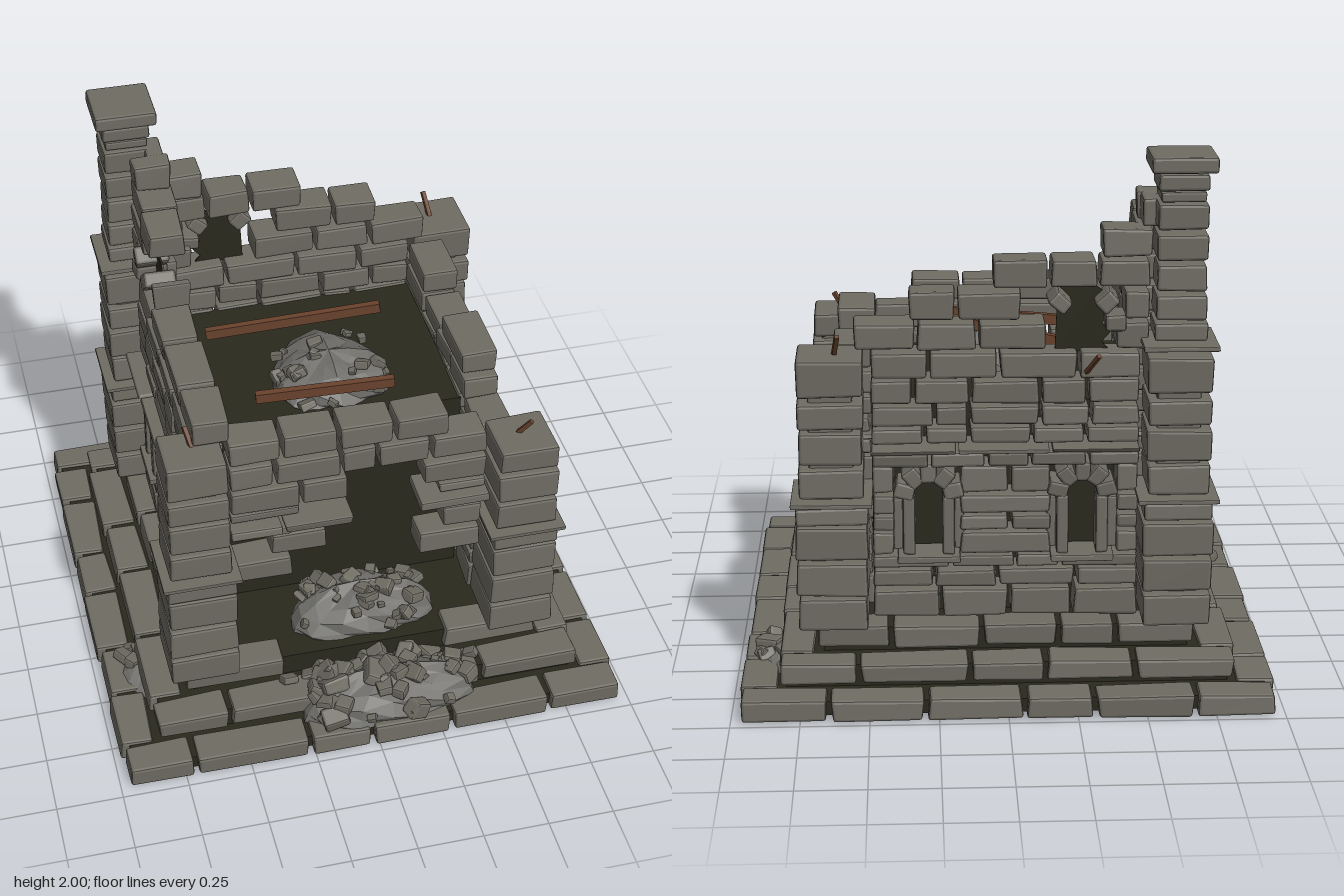
import * as THREE from 'three';
import { mergeGeometries } from 'three/addons/utils/BufferGeometryUtils.js';
import { RoundedBoxGeometry } from 'three/addons/geometries/RoundedBoxGeometry.js';

const mat = (name, color) => Object.assign(new THREE.MeshStandardMaterial({ color }), { name });

export function createModel() {
  const model = new THREE.Group();
  model.name = 'ruinedTower';
  const stone = mat('stone', 0x6f6c63), debris = mat('rubble', 0x6f6e6a);
  const dark = mat('darkMortar', 0x2a291d), wood = mat('oldWood', 0x6b432e);

  let seed = 7;
  const rnd = (a = 0, b = 1) => {
    seed = (seed * 16807) % 2147483647;
    return a + (b - a) * seed / 2147483647;
  };
  const flat = (g) => {
    const f = g.index ? g.toNonIndexed() : g;
    f.deleteAttribute('uv');
    f.computeVertexNormals();
    return f;
  };
  const add = (name, list, material, angle = 0) => {
    const mesh = new THREE.Mesh(Array.isArray(list) ? mergeGeometries(list) : list, material);
    mesh.name = name;
    mesh.rotation.y = angle;
    model.add(mesh);
    return mesh;
  };
  const darkBox = (name, x0, x1, y0, y1, z0, z1) => {
    const g = new THREE.BoxGeometry(x1 - x0, y1 - y0, z1 - z0);
    add(name, g.translate((x0 + x1) / 2, (y0 + y1) / 2, (z0 + z1) / 2), dark);
  };

  // A chamfered block, skewed a little so no two are alike
  const block = (w, h, d, x, y, z, roll = 0, skew = 0.06) => {
    const g = new RoundedBoxGeometry(w, h, d, 1, Math.min(0.011, Math.min(w, h, d) * 0.2));
    const p = g.attributes.position;
    const [a, b, c, e] = [0, 0, 0, 0].map(() => rnd(-skew, skew));
    for (let i = 0; i < p.count; i++) {
      const u = p.getX(i) / w * 2, v = p.getY(i) / h * 2, t = p.getZ(i) / d * 2;
      p.setXYZ(i, p.getX(i) * (1 + a * v * 0.6), p.getY(i) * (1 + b * u + e * t), p.getZ(i) * (1 + c * u + b * v));
    }
    return flat(g).rotateZ(roll).rotateY(c * 0.4).translate(x, y, z);
  };
  // A course of blocks along u, filling each span between y0 and y1
  const course = (out, y0, y1, spans, w0, w1, size = 0.2, gap = 0.013) => {
    for (const [a, b] of spans) {
      const n = Math.max(1, Math.round((b - a) / size));
      const cuts = [a];
      for (let i = 1; i < n; i++) cuts.push(a + (b - a) * (i + rnd(-0.2, 0.2)) / n);
      cuts.push(b);
      for (let i = 0; i < n; i++) {
        const push = rnd(-0.008, 0.008);
        out.push(block(cuts[i + 1] - cuts[i] - gap, y1 - y0, w1 - w0,
          (cuts[i] + cuts[i + 1]) / 2, (y0 + y1) / 2, (w0 + w1) / 2 + push));
      }
    }
  };
  const sides = { front: 0, right: Math.PI / 2, back: Math.PI, left: -Math.PI / 2 };

  // Three stepped courses of the base around a dark filling
  const tiers = [[0.003, 0.085, 0.97, 0.3], [0.092, 0.167, 0.835, 0.36], [0.174, 0.255, 0.70, 0.28]];
  tiers.forEach(([y0, y1, r, size], i) => {
    darkBox('baseFilling', -r + 0.03, r - 0.03, i ? y0 - 0.02 : 0.02, y1 - 0.013, -r + 0.03, r - 0.03);
    for (const [side, angle] of Object.entries(sides)) {
      const out = [], e = angle % Math.PI === 0 ? r : r - 0.135;
      const spans = i === 2 && side === 'front' ? [[-e, -0.3], [0.32, e]] : [[-e, e]];
      course(out, y0, y1, spans, r - 0.13, r, size, 0.02);
      add(side + 'Step', out, stone, angle);
    }
  });

  // Dark inner body carrying the upper floor
  darkBox('innerBody', -0.485, 0.485, 0.24, 1.06, -0.5, 0.28);

  // Corner pillars with thin ledges
  const pillar = (name, x, z, top, tower) => {
    const out = [];
    const put = (y0, y1, r, skew = 0.035) => out.push(block(r * 2, y1 - y0, r * 2, x, (y0 + y1) / 2, z, 0, skew));
    [[0.262, 0.38], [0.395, 0.52], [0.535, 0.66], [0.67, 0.735]].forEach(([a, b]) => put(a, b, 0.13 + rnd(-0.006, 0.002)));
    put(0.739, 0.755, 0.147, 0.005);
    [[0.765, 0.875], [0.89, 1.01], [1.025, 1.12], [1.145, 1.28]].forEach(([a, b]) => {
      if (b <= top) put(a, b, 0.115 + rnd(-0.005, 0.005));
    });
    out.push(block(0.16, top - 0.3, 0.16, x, (top + 0.2) / 2, z, 0, 0));
    if (tower) {
      put(1.307, 1.325, 0.135, 0.005);
      [[1.335, 1.4], [1.41, 1.5], [1.515, 1.61], [1.625, 1.72], [1.735, 1.83], [1.835, 1.87]]
        .forEach(([a, b], i) => put(a, b, i === 5 ? 0.08 : 0.092 + rnd(-0.007, 0.005)));
      put(1.875, 1.935, 0.09);
      put(1.942, 2, 0.117, 0.005);
    }
    add(name, out, stone);
  };
  pillar('backLeftTower', -0.62, -0.62, 1.29, true);
  pillar('backRightPillar', 0.63, -0.62, 1.29);
  pillar('frontLeftPillar', -0.62, 0.61, 1.28);
  pillar('frontRightPillar', 0.62, 0.61, 1.12);

  // Ring of wedge stones around an arch centre, at the given angles
  const arch = (out, u, cy, r, angles) => angles.forEach((a) =>
    out.push(block(0.075, 0.06, 0.13, u + Math.cos(a) * r, cy + Math.sin(a) * r, 0.575, a)));
  // Posts and sill of a lower window
  const windowFrame = (out, u, y0, cy) => {
    for (const s of [-1, 1]) {
      out.push(block(0.045, cy - y0, 0.1, u + s * 0.072, (y0 + cy) / 2, 0.59, 0, 0.02));
      out.push(block(0.035, cy - y0 - 0.03, 0.1, u + s * 0.112, (y0 + cy) / 2, 0.56, 0, 0.02));
    }
    out.push(block(0.23, 0.025, 0.15, u, y0 - 0.012, 0.585, 0, 0.02));
  };
  // Jagged dark sheet behind a window opening
  const backing = (name, u, y0, y1, w, angle) => {
    const s = new THREE.Shape();
    s.moveTo(u - 0.1, y0);
    s.lineTo(u + 0.1, y0);
    for (let i = 1; i < 7; i++) s.lineTo(u + (i % 2 ? 0.07 : 0.1), y0 + (y1 - y0) * i / 7);
    s.lineTo(u + 0.05, y1);
    s.lineTo(u - 0.09, y1);
    const g = new THREE.ExtrudeGeometry(s, { depth: 0.008, bevelEnabled: false });
    add(name, g.translate(0, 0, w), dark, angle);
  };

  // Closed walls: courses broken by two windows each, with a cornice
  const full = [[-0.49, 0.49]];
  for (const side of ['right', 'back', 'left']) {
    const out = [], angle = sides[side];
    // the end toward the front is broken on the two flanks
    const cutL = side === 'right', cutR = side === 'left';
    for (const [a, b] of [[0.262, 0.37], [0.38, 0.445], [0.455, 0.5]]) course(out, a, b, full, 0.485, 0.625, 0.22);
    [[0.51, 0.59], [0.6, 0.655], [0.665, 0.735], [0.745, 0.845]].forEach(([a, b], i) => {
      const spans = [[-0.17, 0.17]];
      spans.push(cutL ? [-0.48, -0.4 - 0.02 * (i % 2)] : [-0.49, -0.4]);
      spans.push(cutR ? [0.4 + 0.02 * (i % 2), 0.48] : [0.4, 0.49]);
      course(out, a, b, spans, 0.485, 0.62, i % 2 ? 0.2 : 0.3);
    });
    for (const u of [-0.28, 0.28]) {
      windowFrame(out, u, 0.51, 0.735);
      arch(out, u, 0.735, 0.09, cutL && u < 0 ? [0.3, 0.9, 1.5] : [0.25, 0.9, 1.57, 2.24, 2.9]);
      backing('windowDark', u, 0.5, 0.85, 0.488, angle);
    }
    course(out, 0.855, 0.91, full, 0.485, 0.66, 0.2);
    course(out, 0.911, 0.925, full, 0.485, 0.68, 0.3);
    const start = cutL ? -0.33 : -0.49;
    for (const [a, b, s] of [[0.933, 0.993, -0.49], [1.002, 1.073, -0.49], [1.083, 1.17, start]]) {
      course(out, a, b, [[s, 0.49]], 0.485, 0.625, 0.21);
    }
    add(side + 'Wall', out, stone, angle);
  }

  // Ruined upper courses, stepping up to the tower
  const levels = [[1.178, 1.27], [1.285, 1.38], [1.395, 1.495], [1.51, 1.61], [1.62, 1.72], [1.73, 1.83]];
  const ruins = {
    right: [[[-0.3, -0.02], [0.24, 0.48]]],
    back: [full, [[-0.55, 0.15], [0.39, 0.52]], [[-0.35, 0.06], [0.42, 0.52]], [[-0.05, 0.52]], [[0.34, 0.53]], [[0.48, 0.56]]],
    left: [full, [[-0.53, -0.4], [-0.14, 0.61]], [[-0.53, -0.42], [-0.14, -0.09]], [[-0.52, -0.28]], [[-0.52, -0.09]], [[-0.5, -0.39]]],
    front: [[[-0.49, 0.34]]],
  };
  for (const [side, rows] of Object.entries(ruins)) {
    const out = [];
    rows.forEach((spans, i) => course(out, ...levels[i], spans, 0.48, 0.62, 0.22));
    if (rows.length > 1) {
      const s = side === 'back' ? 1 : -1;
      arch(out, s * 0.28, 1.38, 0.115, s > 0 ? [0.02, 0.75, 2.4] : [3.1, 2.4, 0.75]);
      backing('upperWindowDark', s * 0.28, 1.26, 1.5, 0.55, sides[side]);
    }
    add(side + 'RuinedTop', out, stone, sides[side]);
  }

  // Front wall with its large ragged breach
  const front = [];
  [[0.61, 0.7, [[-0.48, -0.25], [0.23, 0.48]]],
    [0.725, 0.815, [[-0.34, -0.12], [0.32, 0.48]]],
    [0.825, 0.855, [[-0.49, -0.25], [0.36, 0.49]]],
    [0.905, 0.94, [[-0.49, -0.22], [0.3, 0.49]]],
    [0.95, 1.05, [[-0.49, -0.04], [0.24, 0.49]]],
    [1.065, 1.16, full]].forEach(([a, b, s]) => course(front, a, b, s, 0.49, 0.62, 0.21));
  course(front, 0.86, 0.895, [[-0.5, -0.03], [0.22, 0.5]], 0.49, 0.665, 0.22);
  add('frontWall', front, stone);

  // Rubble heaps: a lumpy mound strewn with chips
  const chip = (s, x, y, z) => block(s * rnd(0.7, 1.4), s * rnd(0.5, 0.9), s, 0, 0, 0, 0, 0.15)
    .rotateX(rnd(-0.6, 0.6)).rotateY(rnd(0, 6)).rotateZ(rnd(-0.5, 0.5)).translate(x, y, z);
  const heap = (name, x, y, z, rx, h, rz, n, size = 0.06) => {
    const g = new THREE.SphereGeometry(1, 16, 9);
    const p = g.attributes.position;
    for (let i = 0; i < p.count; i++) {
      const a = Math.atan2(p.getZ(i), p.getX(i)), py = p.getY(i);
      const k = 0.92 + 0.08 * Math.sin(a * 3 + x * 9) + 0.05 * Math.cos(a * 7 + py * 9);
      const lift = py > 0 ? h * (0.9 + 0.1 * Math.cos(a * 4)) : h * 0.28;
      p.setXYZ(i, p.getX(i) * rx * k, py * lift, p.getZ(i) * rz * k);
    }
    add(name, flat(g).translate(x, y, z), debris);
    const chips = [];
    for (let i = 0; i < n; i++) {
      const a = rnd(0, Math.PI * 2), r = Math.sqrt(rnd(0, 0.9));
      chips.push(chip(rnd(0.025, size), x + Math.cos(a) * r * rx, y + h * Math.sqrt(1 - r * r) * 0.9, z + Math.sin(a) * r * rz));
    }
    add(name + 'Chips', chips, stone);
  };
  heap('doorwayRubble', 0.04, 0.235, 0.48, 0.31, 0.16, 0.18, 36);
  heap('stepRubble', 0.06, 0.085, 0.8, 0.37, 0.15, 0.18, 54, 0.085);
  heap('upperFloorRubble', 0.03, 1.05, 0.02, 0.25, 0.13, 0.25, 22);
  heap('rightStepRubble', 0.8, 0.03, -0.55, 0.13, 0.09, 0.2, 3);
  heap('leftStepRubble', -0.8, 0.03, 0.45, 0.13, 0.09, 0.2, 3);
  const loose = [[0.88, 0.11, -0.5, 0.09], [0.87, 0.1, -0.4, 0.06], [0.9, 0.1, -0.55, 0.05], [-0.88, 0.1, 0.38, 0.06],
    [-0.85, 0.11, 0.42, 0.05], [0.42, 0.17, 0.75, 0.05], [-0.3, 0.18, 0.73, 0.05]];
  add('looseStones', loose.map(([x, y, z, s]) => chip(s, x, y, z)), stone);

  // Fallen beams and broken sticks
  const stick = (name, a, b, w, h) => {
    const p = new THREE.Vector3(...a), q = new THREE.Vector3(...b);
    const m = add(name, new THREE.BoxGeometry(w, h, p.distanceTo(q)), wood);
    m.position.copy(p).add(q).multiplyScalar(0.5);
    m.lookAt(q);
  };
  stick('backBeam', [-0.4, 1.16, -0.215], [0.26, 1.27, -0.085], 0.028, 0.04);
  stick('frontBeam', [-0.3, 1.16, 0.22], [0.22, 1.19, 0.28], 0.028, 0.04);
  stick('frontLeftStick', [-0.61, 1.26, 0.6], [-0.63, 1.335, 0.54], 0.016, 0.016);
  stick('frontRightStick', [0.6, 1.1, 0.59], [0.65, 1.18, 0.625], 0.016, 0.016);
  stick('backRightStick', [0.615, 1.27, -0.63], [0.6, 1.36, -0.69], 0.016, 0.016);
  stick('windowStick', [0.53, 0.6, 0.28], [0.53, 0.75, 0.24], 0.014, 0.014);
  stick('ledgeStick', [-0.33, 1.28, -0.7], [-0.29, 1.2, -0.63], 0.014, 0.014);

  model.position.z = -0.008;
  return model;
}
